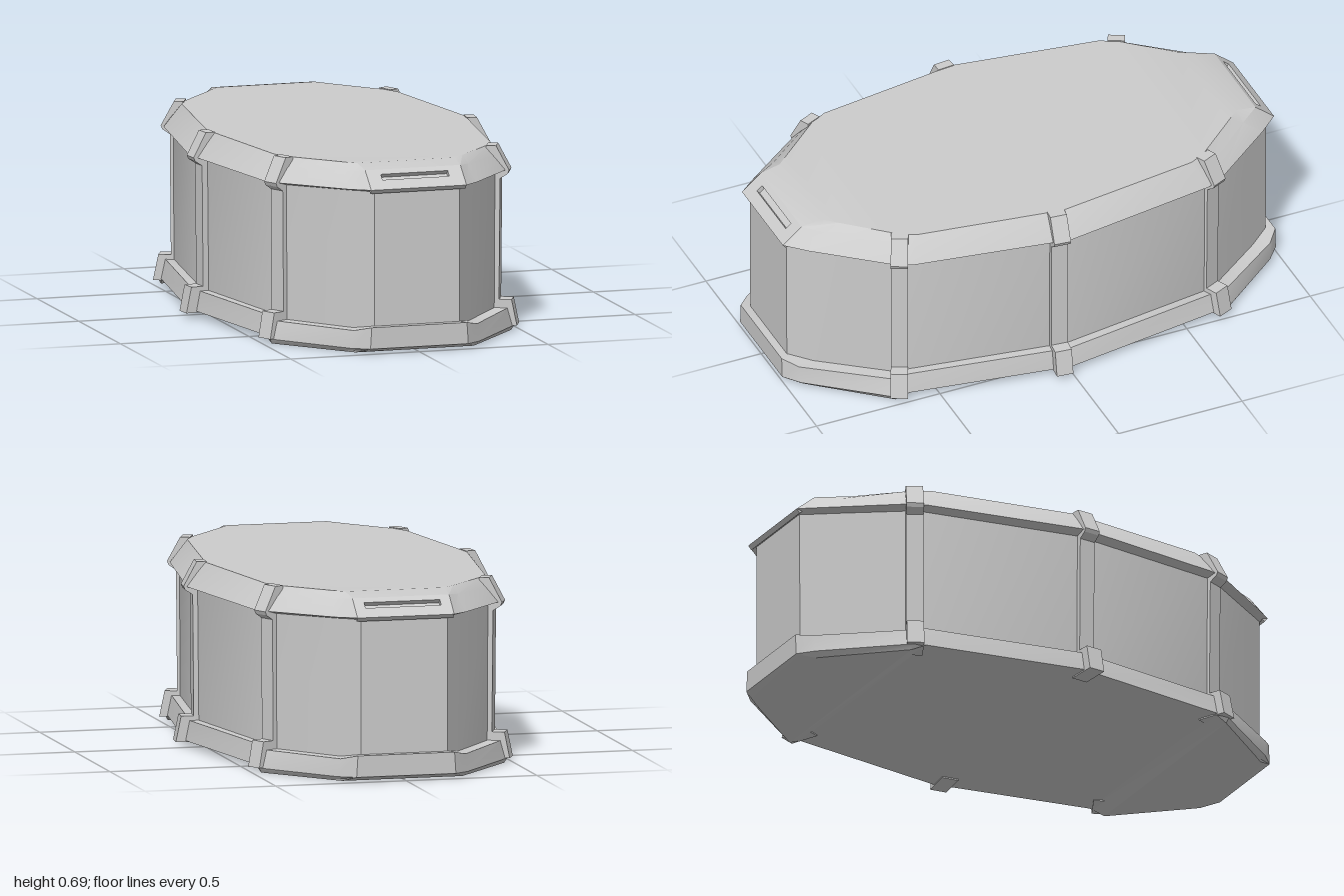
import * as THREE from 'three';
import { toCreasedNormals } from 'three/addons/utils/BufferGeometryUtils.js';

const material = new THREE.MeshStandardMaterial({ color: 0xcccccc, side: THREE.DoubleSide });

// Mirrors five [x, y, z] corners (front end to mid side) into a closed 18-corner ring.
function ring(corners) {
  const back = corners.slice(0, 4).reverse().map(([x, y, z]) => [x, y, -z]);
  const side = [...corners, ...back];
  return [...side, ...side.slice().reverse().map(([x, y, z]) => [-x, y, z])];
}

// Skins a stack of rings from bottom to top, with optional caps and skipped faces.
function loft(name, sections, { bottom = false, top = false, skip = () => false } = {}) {
  const rings = sections.map(ring);
  const points = [];
  const quad = (a, b, c, d) => points.push(...a, ...b, ...c, ...a, ...c, ...d);
  for (let r = 0; r + 1 < rings.length; r++) {
    for (let i = 0; i < 18; i++) {
      const j = (i + 1) % 18;
      if (!skip(r, i)) quad(rings[r][i], rings[r][j], rings[r + 1][j], rings[r + 1][i]);
    }
  }
  for (let i = 0; i < 8; i++) {
    const lo = rings[0], hi = rings[rings.length - 1];
    if (bottom) quad(lo[17 - i], lo[16 - i], lo[i + 1], lo[i]);
    if (top) quad(hi[i], hi[i + 1], hi[16 - i], hi[17 - i]);
  }
  const geometry = new THREE.BufferGeometry();
  geometry.setAttribute('position', new THREE.Float32BufferAttribute(points, 3));
  const mesh = new THREE.Mesh(toCreasedNormals(geometry, 0.4), material);
  mesh.name = name;
  return mesh;
}

function rectangle(PathType, x, y0, y1) {
  return new PathType([[-x, y0], [x, y0], [x, y1], [-x, y1]].map(p => new THREE.Vector2(...p)));
}

// Sloping end panel of the lid with a recessed slot.
function slotPanel(name, slotHalf) {
  const low = { y: 0.615, z: 0.995 }, high = { y: 0.678, z: 0.92 };
  const length = Math.hypot(high.y - low.y, high.z - low.z);
  const depth = 0.02;
  const shape = rectangle(THREE.Shape, 0.185, 0, length);
  shape.holes.push(rectangle(THREE.Path, slotHalf, length * 0.48, length * 0.76));
  const panel = new THREE.Mesh(
    new THREE.ExtrudeGeometry(shape, { depth, bevelEnabled: false }), material);
  panel.name = 'slotFrame';
  const floor = new THREE.Mesh(
    new THREE.PlaneGeometry(slotHalf * 2, length * 0.3), material);
  floor.name = 'slotFloor';
  floor.position.set(0, length * 0.62, 0.002);
  const tilt = new THREE.Group();
  tilt.add(panel, floor);
  tilt.rotation.x = -Math.atan2(low.z - high.z, high.y - low.y);
  tilt.position.set(0, low.y, low.z);
  // Sink the plate so its outer face lies flush with the lid.
  panel.position.z = -depth;
  floor.position.z -= depth;
  const group = new THREE.Group();
  group.name = name;
  group.add(tilt);
  return group;
}

// Upright bracket that wraps the foot, wall and lid.
const ribProfile = [
  [-0.04, 0.02], [0.075, 0.02], [0.055, 0.117], [0.008, 0.117], [0.012, 0.57],
  [0.04, 0.588], [0.046, 0.602], [-0.003, 0.693], [-0.04, 0.693],
];
function rib(name, x, z, angle) {
  const shape = new THREE.Shape(ribProfile.map(p => new THREE.Vector2(...p)));
  const width = 0.064;
  const geometry = new THREE.ExtrudeGeometry(shape, { depth: width, bevelEnabled: false });
  geometry.translate(0, 0, -width / 2);
  const mesh = new THREE.Mesh(geometry, material);
  mesh.name = name;
  mesh.position.set(x, 0, z);
  mesh.rotation.y = -angle;
  return mesh;
}

export function createModel() {
  const model = new THREE.Group();
  model.name = 'container';

  // Stepped foot, lower at the two ends
  model.add(loft('base', [
    [[0.23, 0, 0.94], [0.265, 0, 0.9], [0.465, 0, 0.665], [0.475, 0.025, 0.61], [0.565, 0.025, 0]],
    [[0.19, 0.02, 1], [0.25, 0.018, 0.95], [0.475, 0.018, 0.67], [0.48, 0.025, 0.61], [0.575, 0.025, 0]],
    [[0.185, 0.1, 1], [0.24, 0.085, 0.955], [0.455, 0.085, 0.665], [0.465, 0.1, 0.61], [0.56, 0.1, 0]],
    [[0.165, 0.1, 0.96], [0.22, 0.085, 0.88], [0.4, 0.085, 0.63], [0.42, 0.1, 0.59], [0.51, 0.1, 0]],
  ], { bottom: true }));

  // Upright wall panels
  model.add(loft('walls', [
    [[0.165, 0.07, 0.97], [0.22, 0.07, 0.897], [0.41, 0.07, 0.645], [0.435, 0.07, 0.6], [0.525, 0.07, 0]],
    [[0.165, 0.61, 0.972], [0.22, 0.61, 0.9], [0.412, 0.61, 0.647], [0.438, 0.61, 0.6], [0.53, 0.61, 0]],
  ]));

  // Overhanging bevelled lid
  model.add(loft('lid', [
    [[0.16, 0.6, 0.96], [0.215, 0.598, 0.89], [0.405, 0.588, 0.64], [0.43, 0.585, 0.6], [0.525, 0.585, 0]],
    [[0.185, 0.615, 0.995], [0.25, 0.61, 0.92], [0.45, 0.602, 0.66], [0.475, 0.6, 0.6], [0.57, 0.6, 0]],
    [[0.185, 0.678, 0.92], [0.24, 0.667, 0.845], [0.417, 0.652, 0.635], [0.445, 0.65, 0.575], [0.533, 0.65, 0]],
    [[0.19, 0.692, 0.84], [0.235, 0.691, 0.79], [0.39, 0.69, 0.615], [0.42, 0.69, 0.555], [0.5, 0.69, 0]],
  ], { top: true, skip: (r, i) => r === 1 && (i === 17 || i === 8) }));
  model.add(slotPanel('frontSlot', 0.13));
  const backSlot = slotPanel('backSlot', 0.145);
  backSlot.rotation.y = Math.PI;
  model.add(backSlot);

  // Brackets at the four shoulders and the two side corners
  const lean = 0.44;
  for (const side of [1, -1]) {
    const name = side > 0 ? 'left' : 'right';
    const face = a => (side > 0 ? a : Math.PI - a);
    model.add(rib(name + 'FrontRib', side * 0.425, 0.63, face(lean)));
    model.add(rib(name + 'MiddleRib', side * 0.533, 0.033, face(0.1)));
    model.add(rib(name + 'BackRib', side * 0.425, -0.63, face(-lean)));
  }
  return model;
}
